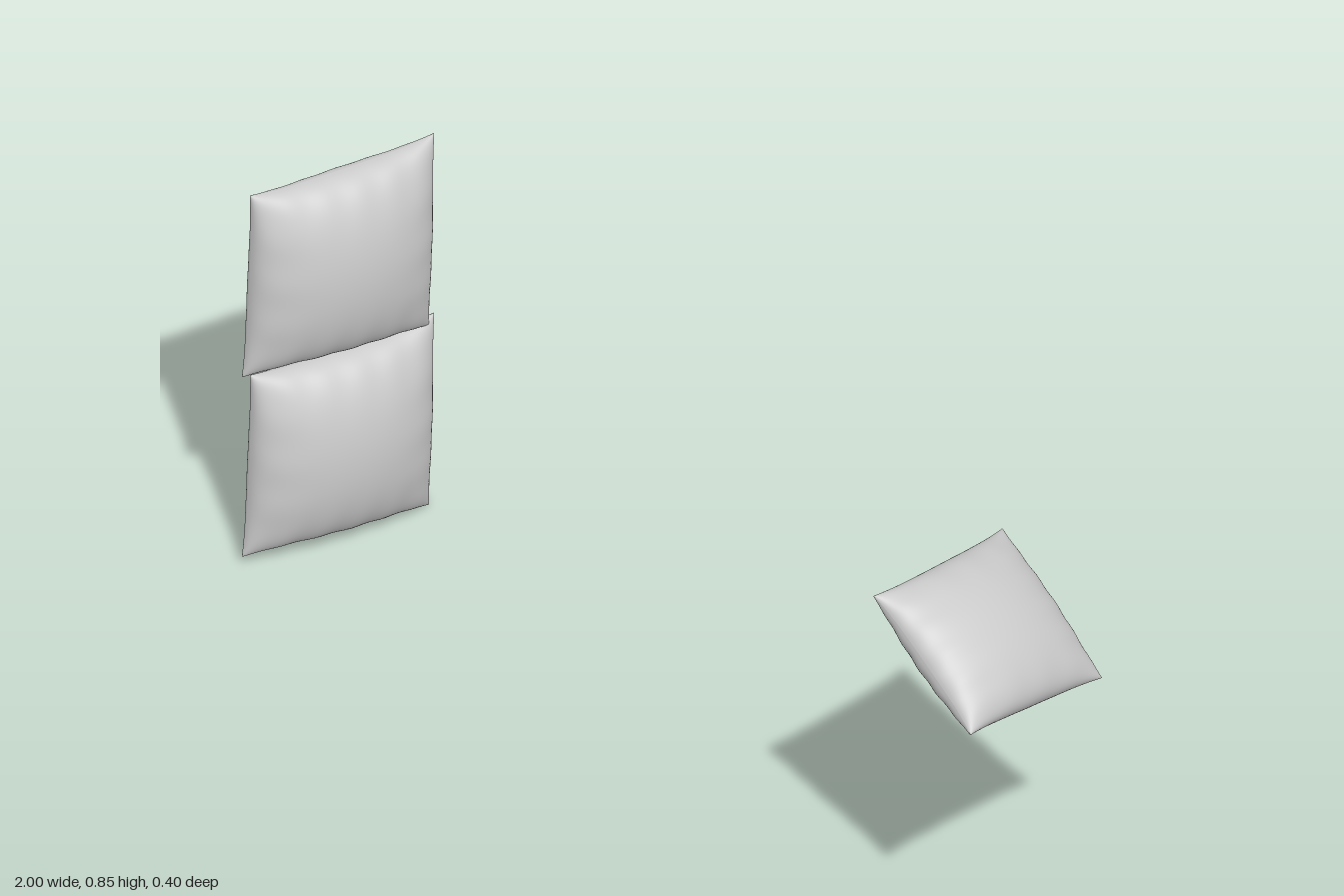
import * as THREE from 'three';

const SEGMENTS = 48;

// One sewn panel: a plane stretched between four corners and inflated along the normal.
function panel([a, b, c, d], side, bulge, phase) {
  const geo = new THREE.PlaneGeometry(2, 2, SEGMENTS, SEGMENTS);
  const pos = geo.attributes.position;
  const normal = b.clone().sub(a).cross(d.clone().sub(a)).normalize();
  const low = new THREE.Vector3();
  const high = new THREE.Vector3();
  for (let i = 0; i < pos.count; i++) {
    // Crowd the grid towards the seams, where the cloth curves most
    const u = side * Math.sin(pos.getX(i) * Math.PI / 2);
    const v = Math.sin(pos.getY(i) * Math.PI / 2);
    const fillU = Math.max(0, 1 - u * u);
    const fillV = Math.max(0, 1 - v * v);
    // Seams draw inwards between the pointed corners
    const s = u * (1 - 0.035 * (1 - v ** 4));
    const t = v * (1 - 0.055 * (1 - u ** 4));
    low.lerpVectors(a, b, (s + 1) / 2);
    high.lerpVectors(d, c, (s + 1) / 2);
    low.lerp(high, (t + 1) / 2);
    // Gathered folds run inwards from the seams and fade out
    const folds = 0.05 * v ** 4 * Math.sin(17 * u + phase) + 0.03 * u ** 4 * Math.sin(13 * v + phase);
    const height = bulge * Math.pow(fillU * fillV, 0.46) * (1 + folds);
    low.addScaledVector(normal, side * height);
    pos.setXYZ(i, low.x, low.y, low.z);
  }
  geo.computeVertexNormals();
  return geo;
}

// Two panels meeting at a sharp seam
function pillow(name, corners, frontBulge, backBulge, material) {
  const points = corners.map(p => new THREE.Vector3(...p));
  const group = new THREE.Group();
  group.name = name;
  const front = new THREE.Mesh(panel(points, 1, frontBulge, 0.6), material);
  front.name = name + 'FrontPanel';
  const back = new THREE.Mesh(panel(points, -1, backBulge, 2.1), material);
  back.name = name + 'BackPanel';
  group.add(front, back);
  return group;
}

export function createModel() {
  const model = new THREE.Group();
  model.name = 'pillows';
  const material = new THREE.MeshStandardMaterial({ color: 0xcccccc, roughness: 0.9 });

  // Two upright pillows, one standing on the other
  const upright = [[-0.97, 0.02, 0.2], [-0.875, 0, -0.182], [-0.88, 0.427, -0.2], [-0.97, 0.425, 0.18]];
  ['lowerPillow', 'upperPillow'].forEach((name, i) => {
    const p = pillow(name, upright, 0.095, 0.062, material);
    p.position.y = i * 0.41;
    model.add(p);
  });

  // Tilted pillow on the other side
  const tilted = [[0.74, 0.847, 0.2], [1, 0.667, 0.197], [0.945, 0.578, -0.185], [0.68, 0.78, -0.18]];
  model.add(pillow('tiltedPillow', tilted, 0.075, 0.085, material));
  return model;
}
